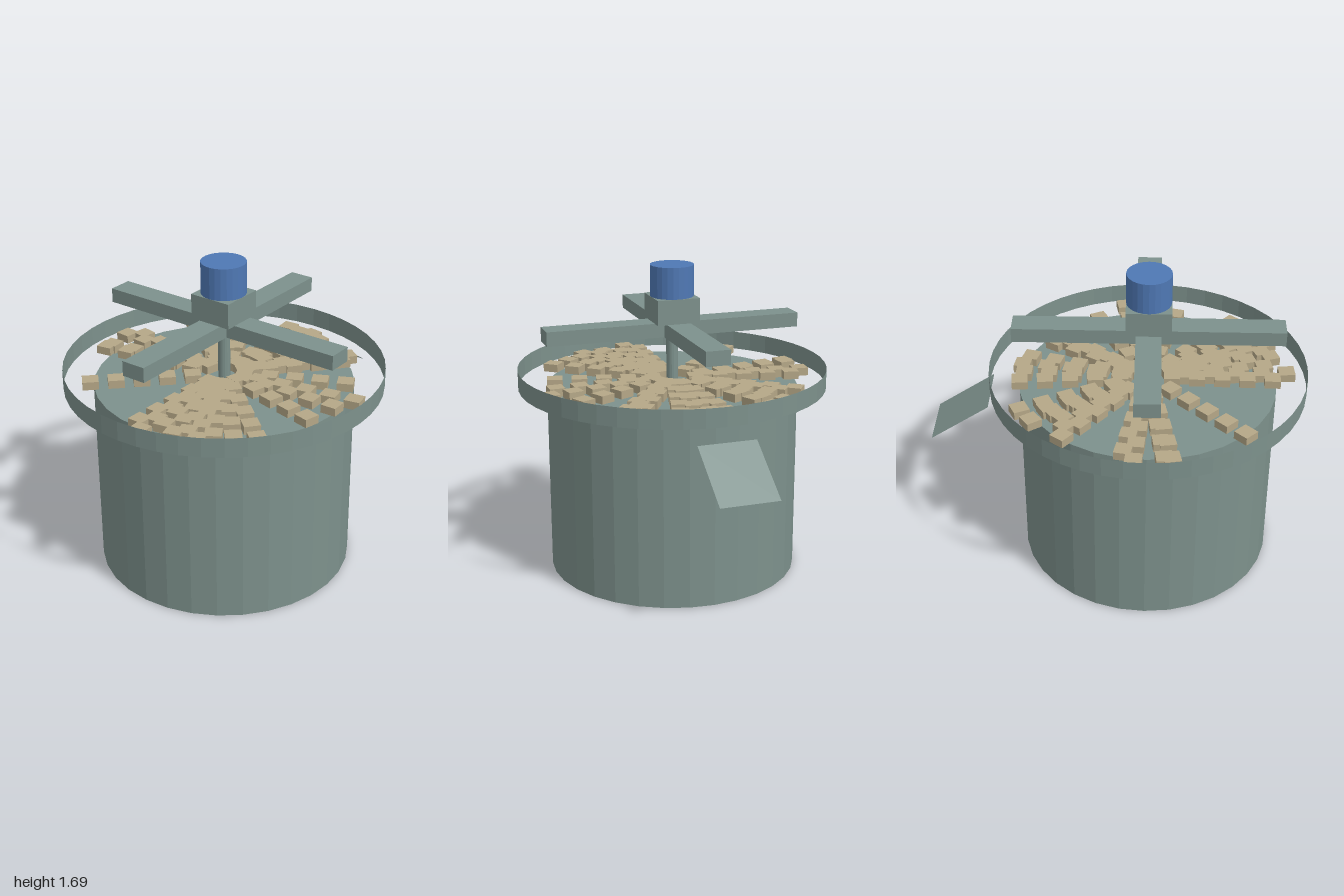
import * as THREE from 'three';

export function createModel() {
  const model = new THREE.Group();
  model.name = 'sortingDrum';
  const CX = -0.16; // axis of the drum

  const material = (name, color, options = {}) => {
    const m = new THREE.MeshStandardMaterial({ color, ...options });
    m.name = name;
    return m;
  };
  const metal = material('greyGreenMetal', 0x7d918c, { flatShading: true, side: THREE.DoubleSide });
  const blue = material('motorBlue', 0x4f78b4, { flatShading: true });
  const tan = material('tanBlock', 0xb5a787, { flatShading: true });

  const add = (name, geometry, mat, x, y, z, parent = model) => {
    const mesh = new THREE.Mesh(geometry, mat);
    mesh.name = name;
    mesh.position.set(x, y, z);
    parent.add(mesh);
    return mesh;
  };

  // Drum, open guard ring and central drive
  add('drum', new THREE.CylinderGeometry(0.683, 0.683, 1.03, 32), metal, CX, 0.515, 0);
  add('guardRing', new THREE.CylinderGeometry(0.84, 0.84, 0.103, 48, 1, true), metal, CX, 1.081, 0);
  add('shaft', new THREE.CylinderGeometry(0.032, 0.032, 0.3, 16), metal, CX, 1.17, 0);
  add('armAcross', new THREE.BoxGeometry(1.42, 0.078, 0.132), metal, CX, 1.344, 0);
  add('armDeep', new THREE.BoxGeometry(0.132, 0.078, 1.42), metal, CX, 1.344, 0);
  add('hub', new THREE.BoxGeometry(0.236, 0.135, 0.236), metal, CX, 1.449, 0);
  add('motor', new THREE.CylinderGeometry(0.118, 0.118, 0.17, 24), blue, CX, 1.601, 0);

  // Thin sloping outlet plate on the left side
  const chute = add('chute', new THREE.PlaneGeometry(0.378, 0.314), metal, 0.84, 0.845, 0);
  chute.rotation.order = 'ZXY';
  chute.rotation.set(-Math.PI / 2, 0, -Math.atan2(0.21, 0.315));

  // Radial rows of blocks on the drum lid: [angle in degrees, radius of outermost block]
  const rows = [
    [-135, 0.7], [-100, 0.72], [-97, 0.71], [-85, 0.73], [-80, 0.66],
    [-52, 0.69], [-48, 0.62], [-42, 0.58], [-35, 0.72], [-26, 0.73], [-31, 0.6],
    [-5, 0.68], [2, 0.66], [8, 0.68], [15, 0.655], [36, 0.69], [39, 0.64], [32, 0.6],
    [64, 0.64], [79, 0.73], [88, 0.66], [103.5, 0.64],
    [130, 0.72], [139, 0.69], [147, 0.67], [153, 0.72], [158, 0.66],
    [163, 0.69], [170, 0.63], [176, 0.74], [181, 0.66],
  ];
  const blocks = new THREE.Group();
  blocks.name = 'blocks';
  blocks.position.set(CX, 1.03, 0);
  model.add(blocks);
  const block = new THREE.BoxGeometry(0.085, 0.044, 0.085);
  rows.forEach(([degrees, outer]) => {
    const a = THREE.MathUtils.degToRad(degrees);
    for (let r = outer; r > 0.1; r -= 0.133) {
      const mesh = add('block', block, tan, Math.cos(a) * r, 0.022, Math.sin(a) * r, blocks);
      mesh.rotation.y = -a;
    }
  });

  return model;
}
